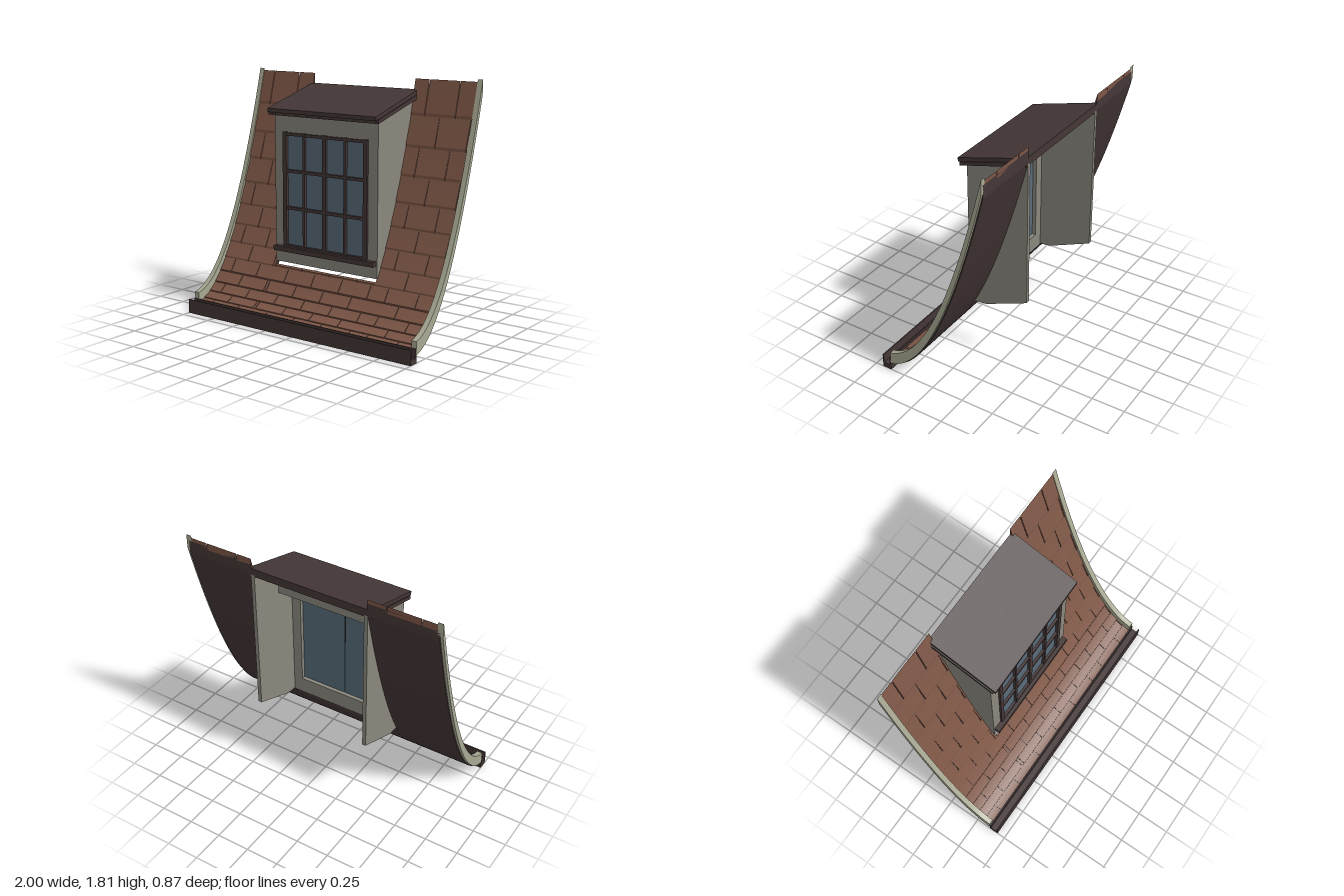
import * as THREE from 'three';
import { mergeGeometries } from 'three/addons/utils/BufferGeometryUtils.js';

const material = (name, color) => Object.assign(new THREE.MeshStandardMaterial({ color }), { name });

// Roof curve: u runs from the eaves (0) up to the back (LENGTH)
const EAVES_Z = 0.367, LENGTH = 0.803, HOLE_U = 0.322, HOLE_X = 0.455;
const curve = (u) => 0.06 + 0.2 * u + 2.33 * u * u;
const steep = (u) => Math.hypot(1, 0.2 + 4.66 * u);

// Slab that follows the roof; low(u, t) and high(u, t) are heights above the curve
function roofSlab(x0, x1, u0, u1, low, high, segments) {
  const g = new THREE.BoxGeometry(1, 1, 1, 1, 1, segments);
  const p = g.attributes.position;
  for (let i = 0; i < p.count; i++) {
    const t = 0.5 - p.getZ(i);
    const u = u0 + (u1 - u0) * t;
    const lift = p.getY(i) > 0 ? high(u, t) : low(u, t);
    p.setXYZ(i, p.getX(i) > 0 ? x1 : x0, curve(u) + lift, EAVES_Z - u);
  }
  g.computeVertexNormals();
  return g;
}

// Side profile given as [z, y] points, extruded across x
function profile(points, x0, x1) {
  const shape = new THREE.Shape(points.map(([z, y]) => new THREE.Vector2(z, y)));
  return new THREE.ExtrudeGeometry(shape, { depth: x1 - x0, bevelEnabled: false })
    .rotateY(-Math.PI / 2).translate(x1, 0, 0);
}

export function createModel() {
  const group = new THREE.Group();
  const tile = material('clay tile', 0x7d5646);
  const dark = material('dark brown', 0x443636);
  const wall = material('grey render', 0x8a877d);
  const stone = material('pale stone', 0xa9a994);
  const glass = material('blue glass', 0x586b79);

  const add = (name, geometry, mat) => {
    const mesh = new THREE.Mesh(geometry, mat);
    mesh.name = name;
    group.add(mesh);
  };
  const box = (name, mat, x0, x1, y0, y1, z0, z1) => add(name,
    new THREE.BoxGeometry(x1 - x0, y1 - y0, z1 - z0)
      .translate((x0 + x1) / 2, (y0 + y1) / 2, (z0 + z1) / 2), mat);

  // Roof deck: a panel on each side of the dormer and a short one below it
  const deck = [[-0.98, -HOLE_X, LENGTH], [-HOLE_X, HOLE_X, HOLE_U], [HOLE_X, 0.98, LENGTH]]
    .map(([a, b, end]) => roofSlab(a, b, 0, end,
      (u) => -0.012 * steep(u), (u) => 0.011 * steep(u), 28));
  add('roofDeck', mergeGeometries(deck), dark);

  // Staggered courses of tiles on the three panels, each raised at its lower edge
  const tiles = [];
  const rows = 13, pitch = LENGTH / rows, gap = 0.003;
  const fields = [[-0.96, -HOLE_X, LENGTH, -0.975], [-HOLE_X, HOLE_X, HOLE_U, -0.45],
    [HOLE_X, 0.96, LENGTH, 0.45]];
  for (const [left, right, end, joint] of fields) {
    for (let r = 0; r * pitch < end - 0.001; r++) {
      const upper = r === rows - 1 ? 0.018 : 0.013;
      for (let x = joint - (r % 2 ? 0 : 0.125); x < right; x += 0.25) {
        const a = Math.max(left, x + gap), b = Math.min(right, x + 0.25 - gap);
        if (b - a < 0.005) continue;
        tiles.push(roofSlab(a, b, r * pitch, Math.min(end, (r + 1) * pitch),
          (u) => 0.005 * steep(u), (u, t) => (0.019 + (upper - 0.019) * t) * steep(u), 3));
      }
    }
  }
  add('roofTiles', mergeGeometries(tiles), tile);

  // Pale verges along both sides
  for (const [name, a] of [['rightVerge', -1], ['leftVerge', 0.96]]) {
    add(name, roofSlab(a, a + 0.04, 0, LENGTH, (u) => -0.004 * steep(u), () => 0.09, 28), stone);
  }

  // Gutter
  add('gutter', profile([[0.365, 0], [0.437, 0], [0.437, 0.107], [0.428, 0.107],
    [0.428, 0.038], [0.376, 0.038], [0.376, 0.1], [0.365, 0.1]], -1, 1), dark);

  // Dormer side walls
  const cheek = [[0.035, 0.415], [-0.1, 0.43], [-0.436, 0.57], [-0.436, 1.67], [0.035, 1.54]];
  add('rightDormerWall', profile(cheek, -0.46, -0.432), wall);
  add('leftDormerWall', profile(cheek, 0.432, 0.46), wall);

  // Dormer front wall around the window, with a deep lintel
  box('frontWallRight', wall, -0.46, -0.36, 0.415, 1.535, -0.01, 0.04);
  box('frontWallLeft', wall, 0.36, 0.46, 0.415, 1.535, -0.01, 0.04);
  box('frontWallBottom', wall, -0.36, 0.36, 0.415, 0.54, -0.01, 0.04);
  add('frontWallLintel', profile([[-0.17, 1.385], [0.04, 1.385], [0.04, 1.535], [-0.17, 1.592]],
    -0.432, 0.432), wall);

  // Dormer roof in two layers
  add('dormerRoofLower', profile([[-0.436, 1.66], [0.08, 1.52], [0.08, 1.547], [-0.436, 1.69]],
    -0.488, 0.488), dark);
  add('dormerRoofUpper', profile([[-0.436, 1.688], [0.1, 1.541], [0.1, 1.57], [-0.436, 1.72]],
    -0.48, 0.48), dark);

  // Window: two panes, frame, glazing bars and sill
  box('rightWindowGlass', glass, -0.36, -0.004, 0.54, 1.39, 0.02, 0.034);
  box('leftWindowGlass', glass, 0.004, 0.36, 0.54, 1.39, 0.02, 0.034);
  for (const [x, w] of [[-0.361, 0.034], [-0.184, 0.018], [0, 0.03], [0.184, 0.018],
    [0.361, 0.034]]) {
    box('windowUpright', dark, x - w / 2, x + w / 2, 0.53, 1.4, 0.03, 0.056);
  }
  for (const y of [0.545, 0.835, 1.112, 1.385]) {
    box('windowRail', dark, -0.375, 0.375, y - 0.011, y + 0.011, 0.03, 0.054);
  }
  box('windowSill', dark, -0.45, 0.45, 0.505, 0.542, 0.035, 0.082);

  return group;
}
